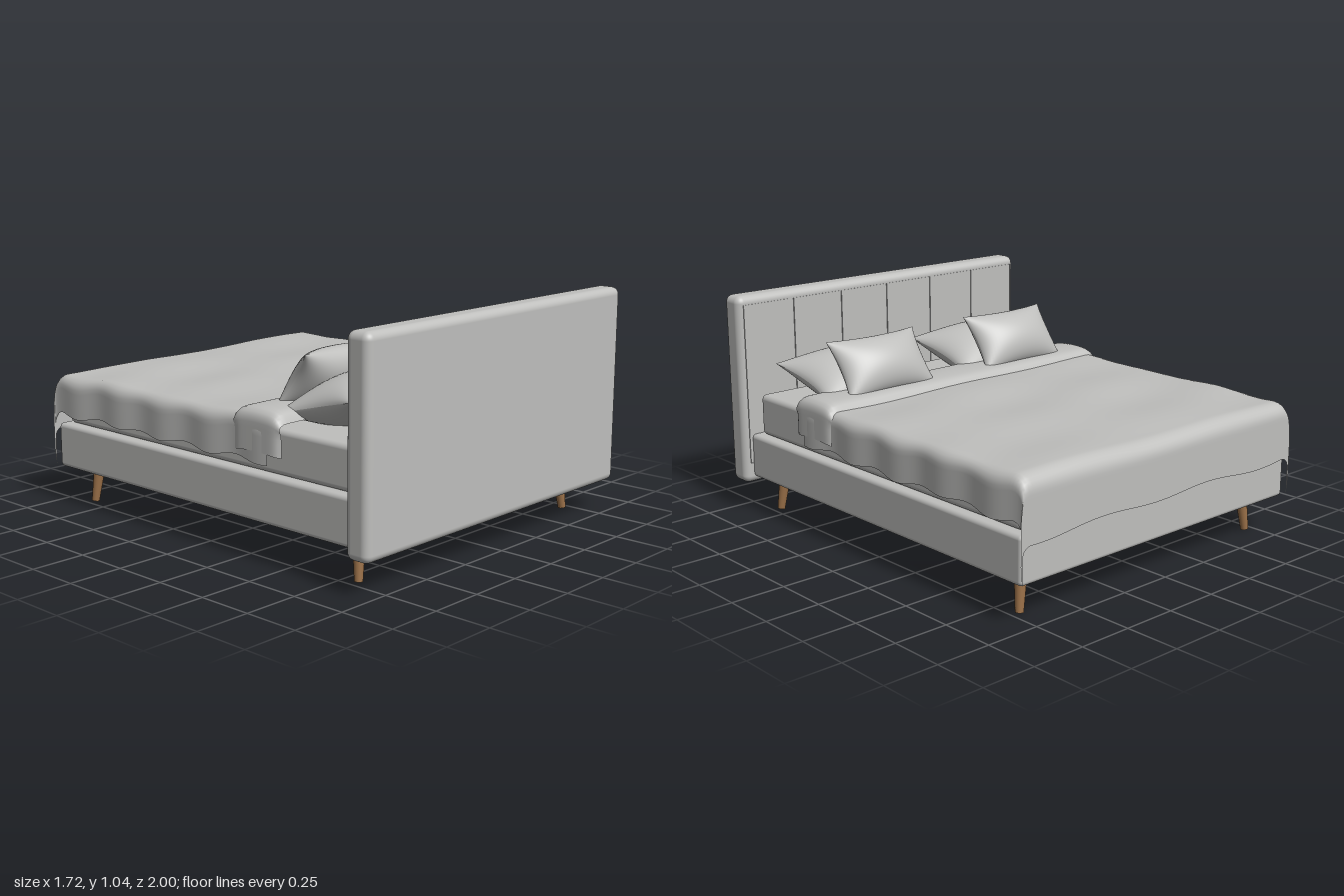
import * as THREE from 'three';
import { RoundedBoxGeometry } from 'three/addons/geometries/RoundedBoxGeometry.js';

// Smooth grid surface; fn(u, v) with u, v in 0..1 returns [x, y, z]
function surface(nu, nv, fn) {
  const pos = [], index = [];
  for (let j = 0; j <= nv; j++) {
    for (let i = 0; i <= nu; i++) pos.push(...fn(i / nu, j / nv));
  }
  for (let j = 0; j < nv; j++) {
    for (let i = 0; i < nu; i++) {
      const a = j * (nu + 1) + i, b = a + nu + 1;
      index.push(a, a + 1, b, a + 1, b + 1, b);
    }
  }
  const g = new THREE.BufferGeometry();
  g.setAttribute('position', new THREE.Float32BufferAttribute(pos, 3));
  g.setIndex(index);
  g.computeVertexNormals();
  return g;
}

// One puffed face: half width a, half height b, bulge h, concave edges by pinch
function puff(a, b, h, pinch, power, side) {
  return surface(28, 28, (s, t) => {
    const u = Math.sin((s - 0.5) * Math.PI) * side;
    const v = Math.sin((t - 0.5) * Math.PI);
    const bulge = Math.pow(Math.max(0, (1 - u * u) * (1 - v * v)), power);
    return [a * u * (1 - pinch * (1 - v * v)), b * v * (1 - pinch * (1 - u * u)), side * h * bulge];
  });
}

// Cloth running over an edge: outward travel and drop after length d past the edge
function drape(d, r) {
  const quarter = r * Math.PI / 2;
  if (d <= 0) return [0, 0];
  if (d < quarter) return [r * Math.sin(d / r), r * (1 - Math.cos(d / r))];
  return [r, r + d - quarter];
}

export function createModel() {
  const bed = new THREE.Group();
  const fabric = new THREE.MeshStandardMaterial({ color: 0xbfbfbd });
  fabric.name = 'greyFabric';
  fabric.side = THREE.DoubleSide;
  const wood = new THREE.MeshStandardMaterial({ color: 0x9a7048 });
  wood.name = 'wood';

  function add(name, geometry, material = fabric, parent = bed) {
    const mesh = new THREE.Mesh(geometry, material);
    mesh.name = name;
    parent.add(mesh);
    return mesh;
  }
  function block(name, w, y0, y1, z0, z1, r) {
    add(name, new RoundedBoxGeometry(w, y1 - y0, z1 - z0, 5, r))
      .position.set(0, (y0 + y1) / 2, (z0 + z1) / 2);
  }

  // Frame and mattress
  block('headboard', 1.72, 0.14, 1.04, 0.88, 1.0, 0.035);
  block('bedBase', 1.63, 0.17, 0.38, -0.98, 0.89, 0.02);
  block('mattress', 1.56, 0.38, 0.575, -0.94, 0.85, 0.025);

  // Six padded headboard panels
  for (let i = 0; i < 6; i++) {
    add('headboardPanel', puff(0.138, 0.38, 0.058, 0, 0.22, 1))
      .position.set((i - 2.5) * 0.277, 0.62, 0.876);
  }

  // Splayed tapered legs
  const up = new THREE.Vector3(0, 1, 0);
  for (const sx of [-1, 1]) {
    for (const [zTop, zFoot] of [[0.805, 0.822], [-0.842, -0.857]]) {
      const foot = new THREE.Vector3(sx * 0.709, 0.002, zFoot);
      const top = new THREE.Vector3(sx * 0.688, 0.18, zTop);
      const dir = top.clone().sub(foot);
      const leg = add('leg', new THREE.CylinderGeometry(0.028, 0.018, dir.length(), 24), wood);
      leg.position.copy(foot).add(top).multiplyScalar(0.5);
      leg.quaternion.setFromUnitVectors(up, dir.normalize());
    }
  }

  // Duvet: one cloth hanging over both sides and the foot, corners falling lowest
  add('duvet', surface(100, 100, (s, t) => {
    const z0 = 0.43, edgeX = 0.775, edgeZ = -0.925;
    const u = s * 2 - 1;
    const footLength = 0.305 + 0.012 * Math.sin(u * 9 + 1);
    const flatZ = z0 - t * (z0 - edgeZ + footLength);
    const sideLength = 0.215 + 0.009 * Math.sin(flatZ * 21);
    const flatX = u * (edgeX + sideLength);
    const dx = Math.max(0, Math.abs(flatX) - edgeX);
    const dz = Math.max(0, edgeZ - flatZ);
    const [outX, downX] = drape(dx, 0.05);
    const [outZ, downZ] = drape(dz, 0.07);
    const ripple = 0.006 * Math.sin(flatZ * 21) * Math.min(1, dx / 0.08);
    const bump = 0.004 * Math.sin(flatX * 7 + 1) * Math.sin(flatZ * 9) + 0.003 * Math.sin(flatZ * 14 + flatX * 3);
    return [
      Math.sign(flatX) * (Math.min(Math.abs(flatX), edgeX) + outX + ripple),
      0.618 + bump - downX - downZ,
      Math.max(flatZ, edgeZ) - outZ,
    ];
  }));

  // Turned-back band at the head of the duvet, curling under at both edges
  add('duvetFold', surface(80, 24, (s, t) => {
    const edgeX = 0.777, u = (s * 2 - 1) * (edgeX + 0.22);
    const v = t * 2 - 1;
    const [out, down] = drape(Math.abs(u) - edgeX, 0.053);
    const curl = Math.pow(Math.abs(v), 8);
    const hang = Math.min(1, down / 0.1);
    return [
      Math.sign(u) * (Math.min(Math.abs(u), edgeX) + out - 0.02 * curl * hang),
      0.655 - down - 0.012 * v * v * (1 - hang) - 0.04 * curl * (1 - hang) + 0.012 * hang * (1 - v * v),
      0.36 - 0.135 * v,
    ];
  }));

  // A sleeping pillow and a small cushion on each side
  function pillow(name, x, y, z, tilt, a, b, h) {
    const group = new THREE.Group();
    group.name = name;
    add(name + 'Front', puff(a, b, h, 0.1, 0.55, 1), fabric, group);
    add(name + 'Back', puff(a, b, h, 0.1, 0.55, -1), fabric, group);
    group.position.set(x, y, z);
    group.rotation.x = tilt;
    bed.add(group);
  }
  for (const sx of [-1, 1]) {
    pillow('pillow', sx * 0.402, 0.672, 0.585, 1.32, 0.325, 0.212, 0.118);
    pillow('cushion', sx * 0.408, 0.745, 0.395, 0.62, 0.25, 0.15, 0.1);
  }
  return bed;
}
